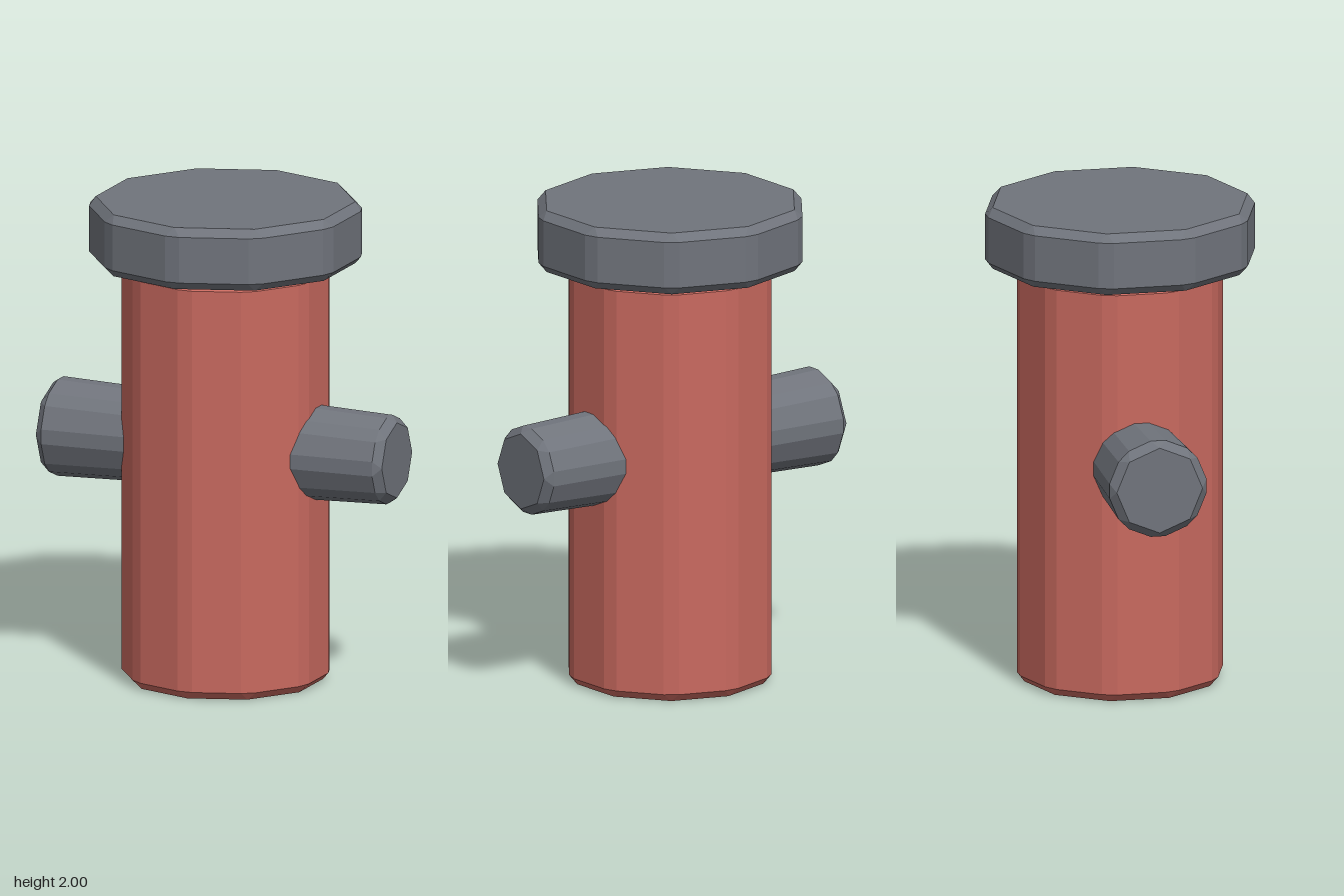
import * as THREE from 'three';

const BEVEL = 0.033;

// Upright prism with every edge chamfered: rings of paired corner points
// along the sides, shrinking to a plain polygon at each end.
function bevelledPrism(sides, rBottom, rTop, height) {
  const half = Math.PI / sides;
  const ring = (radius, y, isEnd) => {
    const points = [];
    const r = isEnd ? radius - BEVEL / Math.cos(half) : radius;
    const corner = (i) => new THREE.Vector3(Math.sin(2 * half * i) * r, y, Math.cos(2 * half * i) * r);
    const t = isEnd ? 0 : BEVEL / (2 * r * Math.sin(half));
    for (let i = 0; i < sides; i++) {
      points.push(corner(i).lerp(corner(i - 1), t), corner(i).lerp(corner(i + 1), t));
    }
    return points;
  };
  const rings = [
    ring(rBottom, 0, true),
    ring(rBottom, BEVEL, false),
    ring(rTop, height - BEVEL, false),
    ring(rTop, height, true),
  ];
  const positions = [];
  const triangle = (a, b, c) => {
    // skip slivers where paired end points coincide
    if (a.distanceTo(b) < 1e-5 || b.distanceTo(c) < 1e-5 || c.distanceTo(a) < 1e-5) return;
    for (const p of [a, b, c]) positions.push(p.x, p.y, p.z);
  };
  const n = sides * 2;
  const bottomCentre = new THREE.Vector3(0, 0, 0);
  const topCentre = new THREE.Vector3(0, height, 0);
  for (let i = 0; i < n; i++) {
    const j = (i + 1) % n;
    for (let k = 0; k < 3; k++) {
      const lower = rings[k], upper = rings[k + 1];
      triangle(lower[i], lower[j], upper[j]);
      triangle(lower[i], upper[j], upper[i]);
    }
    triangle(bottomCentre, rings[0][j], rings[0][i]);
    triangle(topCentre, rings[3][i], rings[3][j]);
  }
  const geometry = new THREE.BufferGeometry();
  geometry.setAttribute('position', new THREE.Float32BufferAttribute(positions, 3));
  geometry.computeVertexNormals();
  return geometry;
}

export function createModel() {
  const group = new THREE.Group();
  const red = new THREE.MeshStandardMaterial({ color: 0xc8695f, flatShading: true });
  const slate = new THREE.MeshStandardMaterial({ color: 0x70747c, flatShading: true });

  const add = (name, geometry, material, x, y) => {
    const mesh = new THREE.Mesh(geometry, material);
    mesh.name = name;
    mesh.position.set(x, y, 0);
    group.add(mesh);
    return mesh;
  };

  // Main post and overhanging lid
  add('body', bevelledPrism(10, 0.432, 0.432, 1.745), red, 0, 0);
  add('cap', bevelledPrism(10, 0.564, 0.564, 0.257), slate, 0, 1.743);

  // Side outlets: both narrow towards +x
  const rightOutlet = add('rightOutlet', bevelledPrism(8, 0.214, 0.198, 0.562), slate, -0.762, 0.979);
  const leftOutlet = add('leftOutlet', bevelledPrism(8, 0.21, 0.193, 0.557), slate, 0.2, 0.979);
  for (const outlet of [rightOutlet, leftOutlet]) outlet.rotation.z = -Math.PI / 2;

  return group;
}
